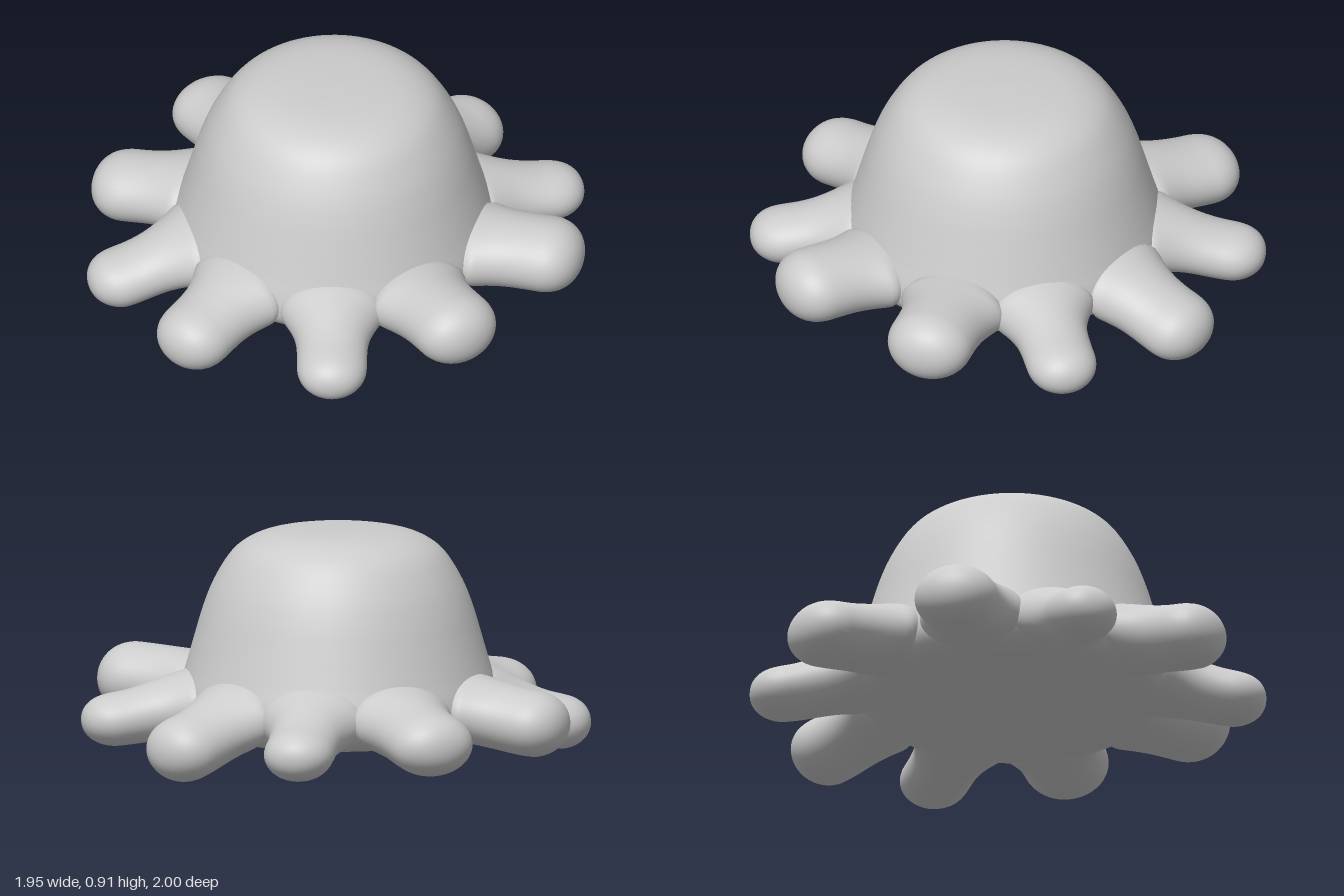
import * as THREE from 'three';
import { mergeVertices } from 'three/addons/utils/BufferGeometryUtils.js';

const material = new THREE.MeshStandardMaterial({ color: 0xcccccc });
const { lerp, smoothstep } = THREE.MathUtils;

// Domed head running down into the rounded rim and the flat underside
function makeBody() {
  const rim = [
    [0.5, 0.1], [0.58, 0.13], [0.625, 0.19], [0.625, 0.27], [0.6, 0.36], [0.58, 0.43],
    [0.56, 0.5], [0.53, 0.6], [0.49, 0.7], [0.43, 0.8], [0.37, 0.855], [0.29, 0.89],
    [0.18, 0.907], [0, 0.913],
  ].map(([r, y]) => new THREE.Vector2(r, y));
  const profile = [new THREE.Vector2(0, 0.1), ...new THREE.SplineCurve(rim).getPoints(60)];
  profile[profile.length - 1].x = 0;
  const body = new THREE.Mesh(new THREE.LatheGeometry(profile, 80), material);
  body.name = 'head';
  return body;
}

// Stubby arm along +z: flared where it leaves the body, blunt at the tip
function makeArm({ name, angle, length, width, tipY, height }) {
  const rows = 48, start = 0.3, cap = 0.15;
  const geometry = new THREE.CylinderGeometry(1, 1, 1, 40, rows, true);
  const p = geometry.attributes.position;
  for (let i = 0; i < p.count; i++) {
    const x = p.getX(i), z = p.getZ(i);
    const t = p.getY(i) + 0.5;
    // two thirds of the rows make the shaft, the rest the rounded tip
    const a = Math.min(t / 0.67, 1);
    const b = Math.max((t - 0.67) / 0.33, 0);
    const u = Math.sin(b * Math.PI / 2);
    const d = lerp(start, length - cap, a) + cap * u;
    const round = Math.pow(Math.max(1 - Math.pow(u, 2.2), 0), 1 / 2.2);
    // web between neighbouring arms
    const flare = Math.pow(1 - smoothstep(d, 0.5, 0.84), 2);
    const halfWidth = Math.min(width + (0.25 - width) * flare, d * 0.345) * round;
    const blend = smoothstep(d, 0.5, length - cap * 0.6);
    const halfHeight = lerp(0.135, height, blend) * round;
    const centre = lerp(0.24, tipY, blend);
    p.setXYZ(i, x * halfWidth, centre - z * halfHeight, d);
  }
  geometry.deleteAttribute('normal');
  geometry.deleteAttribute('uv');
  const smooth = mergeVertices(geometry, 1e-5);
  smooth.computeVertexNormals();
  const arm = new THREE.Mesh(smooth, material);
  arm.name = name;
  arm.rotation.y = THREE.MathUtils.degToRad(angle);
  return arm;
}

export function createModel() {
  const group = new THREE.Group();
  group.name = 'octopus';
  group.add(makeBody());

  // name, angle from the front, reach, half width, tip height, half thickness
  const arms = [
    ['frontArm', -1.7, 1.0, 0.155, 0.17, 0.128],
    ['frontLeftArm', 37, 1.0, 0.138, 0.155, 0.105],
    ['leftFrontArm', 70.5, 1.01, 0.17, 0.26, 0.14],
    ['leftBackArm', 110.5, 1.02, 0.17, 0.255, 0.14],
    ['backLeftArm', 144.5, 1.02, 0.138, 0.17, 0.105],
    ['backArm', 181.2, 1.0, 0.16, 0.13, 0.13],
    ['backRightArm', -144.5, 1.03, 0.138, 0.15, 0.105],
    ['rightBackArm', -110.5, 1.03, 0.17, 0.18, 0.125],
    ['rightFrontArm', -70.5, 0.99, 0.165, 0.19, 0.13],
    ['frontRightArm', -37, 1.0, 0.138, 0.12, 0.11],
  ];
  for (const [name, angle, length, width, tipY, height] of arms) {
    group.add(makeArm({ name, angle, length, width, tipY, height }));
  }
  return group;
}
